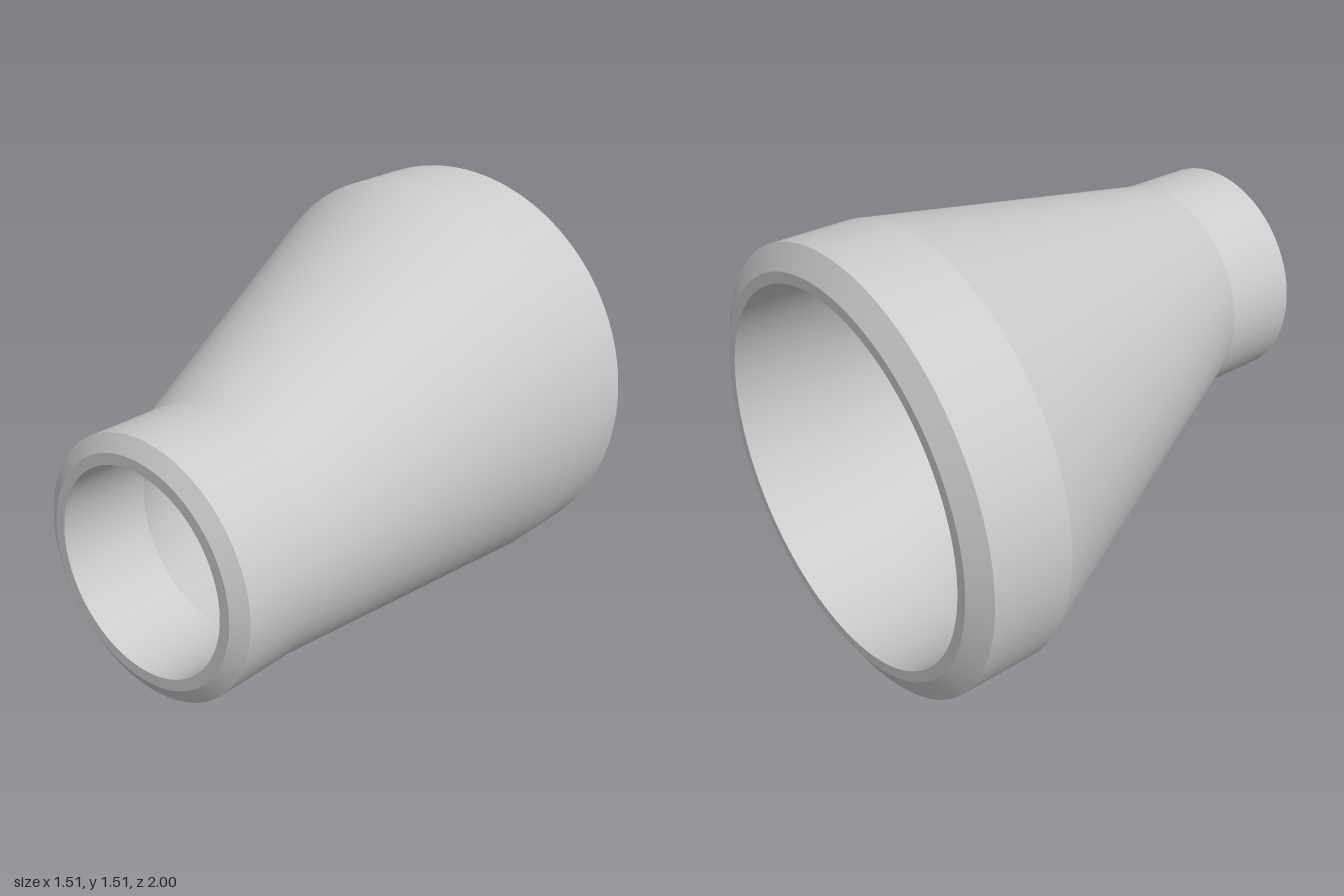
import * as THREE from 'three';

const SEGMENTS = 128;
const CENTRE_Y = 0.755;

// Band between two circles [centreX, radius, z]; the vertices wrap so the band is seamless
function band(name, from, to, material) {
  const positions = [];
  const index = [];
  for (const [x, r, z] of [from, to]) {
    for (let i = 0; i < SEGMENTS; i++) {
      const a = (i / SEGMENTS) * Math.PI * 2;
      positions.push(x + r * Math.cos(a), CENTRE_Y + r * Math.sin(a), z);
    }
  }
  for (let i = 0; i < SEGMENTS; i++) {
    const j = (i + 1) % SEGMENTS;
    index.push(i, j, i + SEGMENTS, j, j + SEGMENTS, i + SEGMENTS);
  }
  const geometry = new THREE.BufferGeometry();
  geometry.setAttribute('position', new THREE.Float32BufferAttribute(positions, 3));
  geometry.setIndex(index);
  geometry.computeVertexNormals();
  const mesh = new THREE.Mesh(geometry, material);
  mesh.name = name;
  return mesh;
}

export function createModel() {
  const group = new THREE.Group();
  group.name = 'eccentricPipeReducer';
  const material = new THREE.MeshStandardMaterial({ color: 0xcccccc });

  const small = 0.337; // sideways offset of the small end, flush along +x

  // Closed section: along the outside to the front, then back through the bore.
  // Each entry is a circle and the name of the band that starts there.
  const section = [
    [[0, 0.675, -1], 'largeEndBevel'],
    [[0, 0.755, -0.957], 'largeCollar'],
    [[0, 0.755, -0.68], 'taperedBody'],
    [[small, 0.417, 0.68], 'smallCollar'],
    [[small, 0.417, 0.97], 'smallEndBevel'],
    [[small, 0.366, 1], 'smallEndRim'],
    [[small, 0.33, 1], 'smallBore'],
    [[small, 0.33, 0.68], 'taperedBore'],
    [[0, 0.638, -0.68], 'largeBore'],
    [[0, 0.638, -1], 'largeEndRim'],
  ];
  section.forEach(([circle, name], i) => {
    const next = section[(i + 1) % section.length][0];
    group.add(band(name, circle, next, material));
  });

  return group;
}
